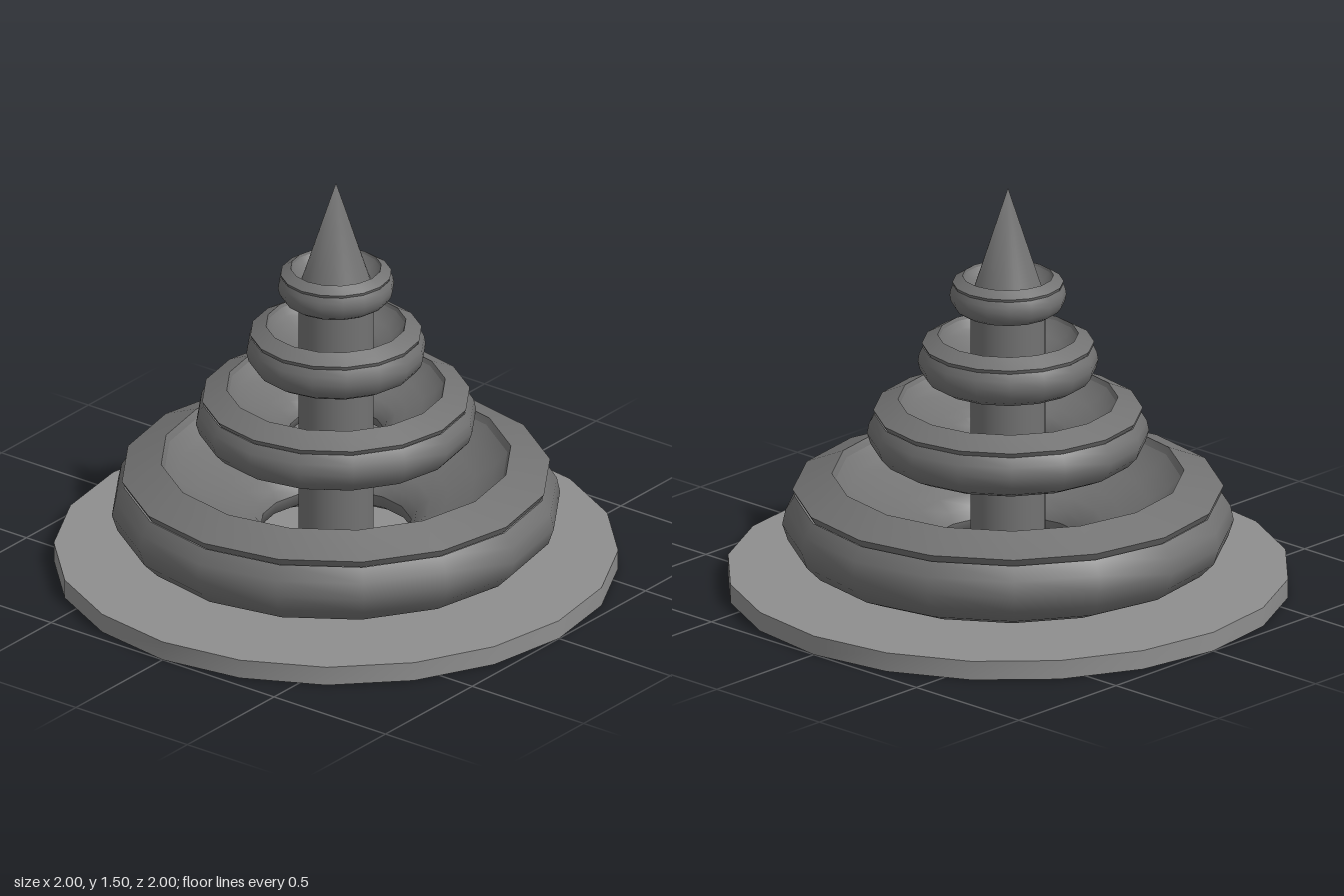
import * as THREE from 'three';
import { mergeVertices, toCreasedNormals } from 'three/addons/utils/BufferGeometryUtils.js';

const paleStone = new THREE.MeshStandardMaterial({ color: 0x8e8e8e });
const darkStone = new THREE.MeshStandardMaterial({ color: 0x727272, side: THREE.DoubleSide });
const SIDES = 16;

function addMesh(parent, name, geometry, y = 0, material = darkStone) {
  const mesh = new THREE.Mesh(geometry, material);
  mesh.name = name;
  mesh.position.y = y;
  parent.add(mesh);
}

// Profiles are [radius, height], both as fractions of the tier's size
function ring(profile, radius, height) {
  const points = profile.map(([r, y]) => new THREE.Vector2(r * radius, y * height));
  return new THREE.LatheGeometry(points, SIDES);
}

// Cone whose tip shares one normal, so it shades softly from above
function softCone(radius, height) {
  const cone = new THREE.ConeGeometry(radius, height, 32, 1, true);
  cone.deleteAttribute('normal');
  cone.deleteAttribute('uv');
  const merged = mergeVertices(cone);
  merged.computeVertexNormals();
  return merged;
}

// Rounded outer wall, from the central hole under the bowl up to the rim
const bowlProfile = [
  [0.335, 0.25], [0.345, 0.12], [0.42, 0.02], [0.55, 0], [0.7, 0], [0.81, 0.04],
  [0.91, 0.14], [0.975, 0.29], [1, 0.46], [0.985, 0.62], [0.945, 0.76],
];
// Sharp lip overhanging the wall
const rimProfile = [[0.935, 0.75], [0.955, 0.83], [0.78, 1], [0.765, 0.93]];
// Funnel falling from the rim to the hole
const basinProfile = [
  [0.765, 0.93], [0.71, 0.8], [0.62, 0.68], [0.5, 0.55], [0.42, 0.46],
  [0.36, 0.36], [0.335, 0.25],
];

export function createModel() {
  const model = new THREE.Group();
  model.name = 'tieredFountain';

  // Base, central column and pointed top
  const base = toCreasedNormals(new THREE.CylinderGeometry(1, 1, 0.07, 20), 0.6);
  addMesh(model, 'base', base, 0.035, paleStone);
  addMesh(model, 'column', new THREE.CylinderGeometry(0.133, 0.133, 1.01, 32), 0.575);
  addMesh(model, 'spire', softCone(0.135, 0.42), 1.285);

  // Tiers: outer radius, bottom, height
  const tiers = [
    [0.8, 0.076, 0.352],
    [0.5, 0.47, 0.235],
    [0.32, 0.76, 0.187],
    [0.207, 1.03, 0.137],
  ];
  tiers.forEach(([radius, bottom, height], i) => {
    const tier = new THREE.Group();
    tier.name = `tier${i + 1}`;
    tier.position.y = bottom;
    addMesh(tier, 'bowl', ring(bowlProfile, radius, height));
    addMesh(tier, 'rim', toCreasedNormals(ring(rimProfile, radius, height), 0.5));
    addMesh(tier, 'basin', ring(basinProfile, radius, height));
    model.add(tier);
  });
  return model;
}
